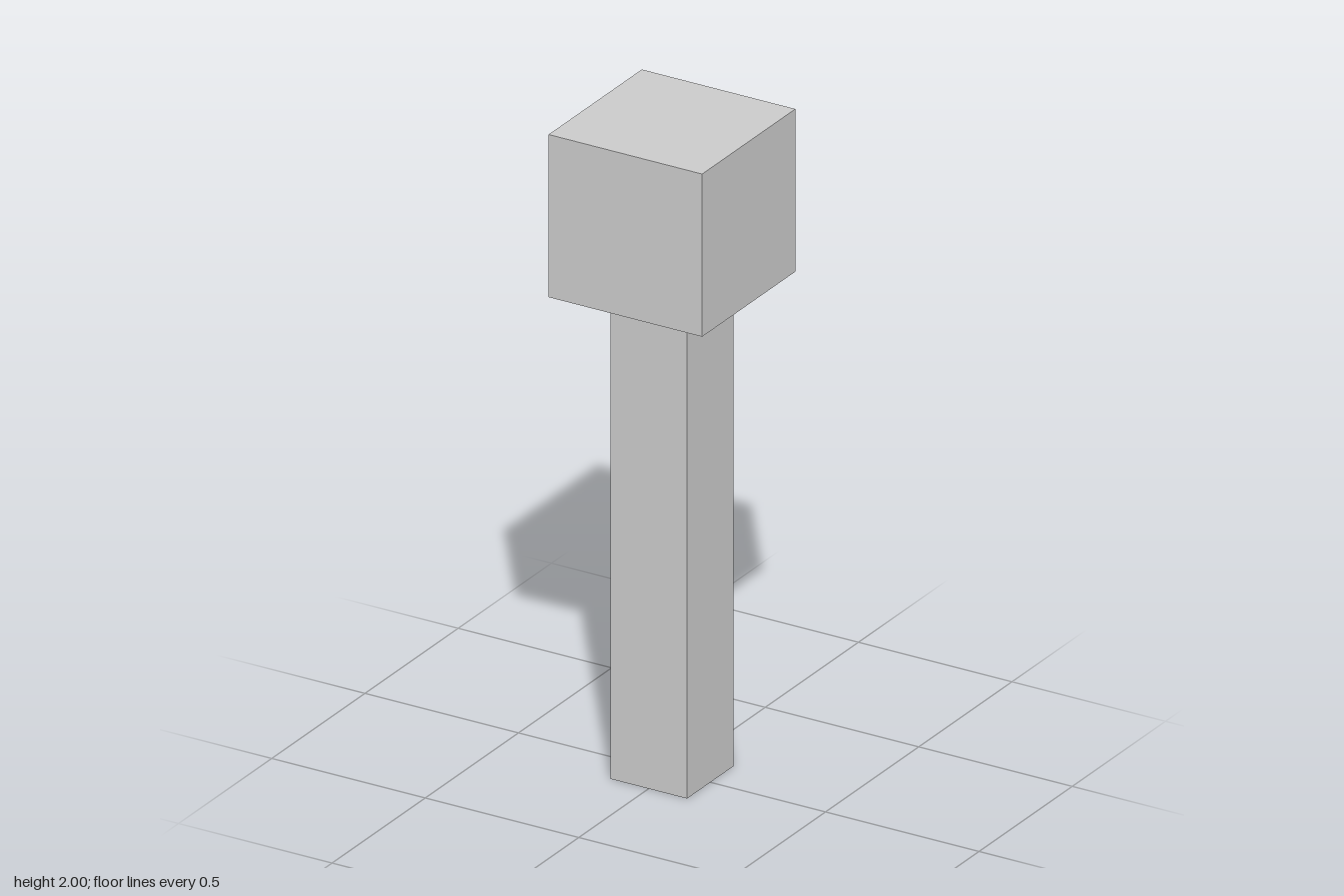
import * as THREE from 'three';

const material = new THREE.MeshStandardMaterial({ color: 0xcccccc, flatShading: true });

// Square block standing on height y
function block(name, width, height, y) {
  const mesh = new THREE.Mesh(new THREE.BoxGeometry(width, height, width), material);
  mesh.name = name;
  mesh.position.y = y + height / 2;
  return mesh;
}

export function createModel() {
  const model = new THREE.Group();
  model.name = 'squarePost';
  model.add(
    block('shaft', 0.25, 1.5, 0), // slender post
    block('head', 0.5, 0.5, 1.5), // cube on top
  );
  return model;
}
